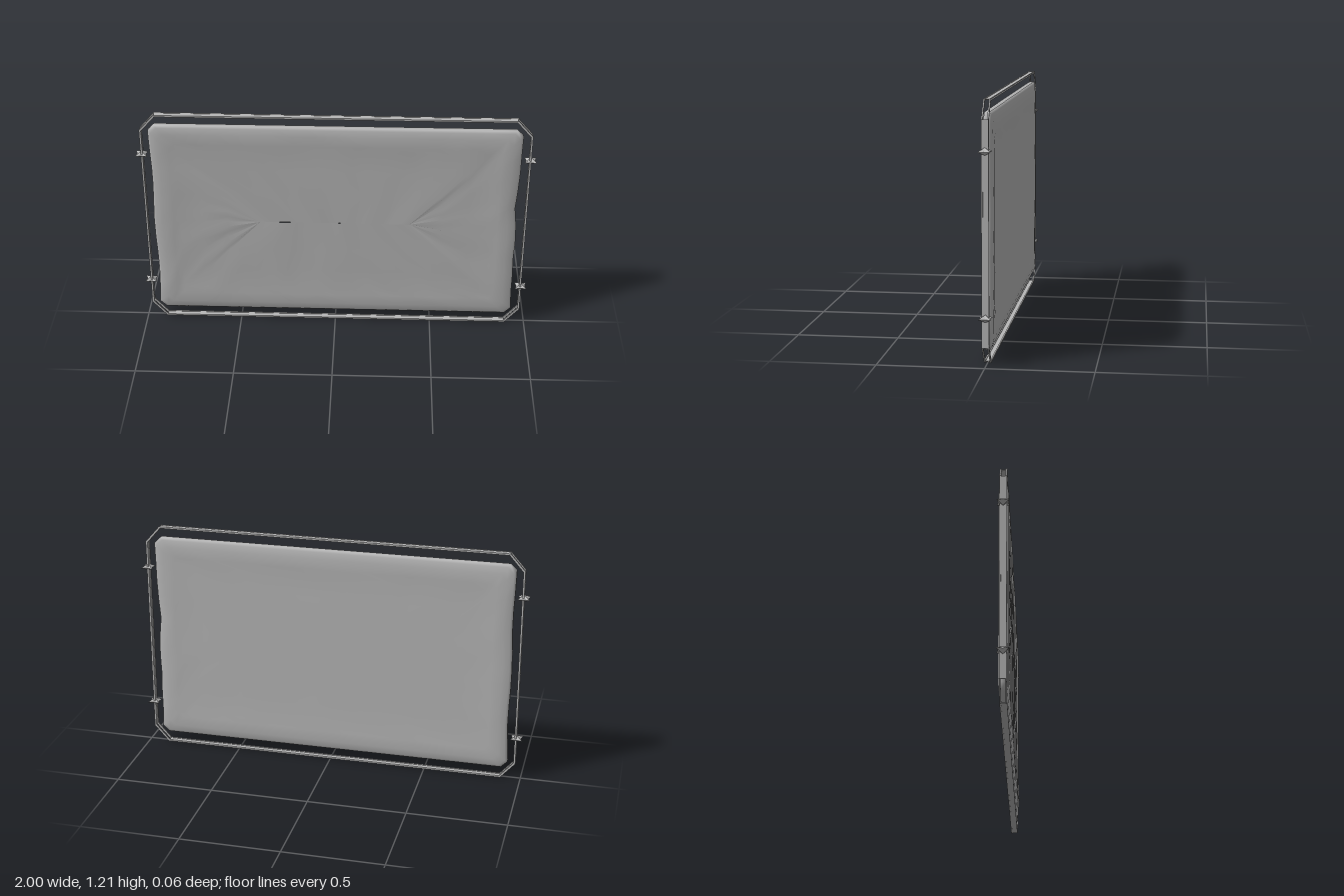
import * as THREE from 'three';

const stone = new THREE.MeshStandardMaterial({ color: 0xb8b8b8 });
stone.name = 'grey';

const CY = 0.612; // height of the centre

// counter-clockwise rectangle with cut corners
function cutRect(hx, hy, cx, cy) {
  return [
    [hx, -hy + cy], [hx, hy - cy], [hx - cx, hy], [-hx + cx, hy],
    [-hx, hy - cy], [-hx, -hy + cy], [-hx + cx, -hy], [hx - cx, -hy],
  ].map(([x, y]) => new THREE.Vector2(x, y));
}

function seeded(seed) {
  return () => (seed = (seed * 16807) % 2147483647) / 2147483647;
}

// worn slab: nested outlines from the front centre, round the rim, to the back centre
function slabGeometry() {
  const rand = seeded(77);
  const half = [[0, 0.012], [0.012, 0.018], [0.045, 0.024], [0.1, 0.025], [0.135, 0.021],
    [0.25, 0.021], [0.38, 0.021], [0.5475, 0.021]];
  const rings = [
    ...half.slice().reverse().map(([i, z]) => [i, z, i > 0.05 ? 0.005 : 0]),
    ...half.map(([i, z]) => [i, -z, i > 0.05 && i < 0.2 ? 0.002 : 0]),
  ];
  const steps = [10, 1, 16, 1, 10, 1, 16, 1];
  const pos = [], index = [];
  let n = 0;
  for (const [inset, z, rough] of rings) {
    const c = Math.max(0, 0.032 - inset * 0.0585);
    const pts = cutRect(0.928 - inset, 0.5475 - inset, c, c);
    n = 0;
    pts.forEach((p, s) => {
      const q = pts[(s + 1) % 8];
      for (let k = 0; k < steps[s]; k++, n++) {
        const v = p.clone().lerp(q, k / steps[s]);
        // chipped short sides
        if (inset < 0.1 && s === 0 && k > 0) v.x -= [0, 0.004, 0.003, 0.006, 0.002, 0.005, 0.016, 0.008, 0.003, 0.002][k];
        if (inset < 0.1 && s === 4 && k > 0) v.x += 0.008 * Math.sin(k * 0.6) ** 2;
        pos.push(v.x, v.y, z + (rand() - 0.5) * rough);
      }
    });
  }
  for (let r = 0; r < rings.length - 1; r++) {
    for (let j = 0; j < n; j++) {
      const a = r * n + j, d = r * n + (j + 1) % n;
      index.push(a, a + n, d + n, a, d + n, d);
    }
  }
  const g = new THREE.BufferGeometry();
  g.setAttribute('position', new THREE.Float32BufferAttribute(pos, 3));
  g.setIndex(index);
  g.computeVertexNormals();
  return g;
}

// four-pointed stud, flat in plan
function studGeometry() {
  const g = new THREE.SphereGeometry(1, 8, 2).toNonIndexed();
  const p = g.attributes.position;
  for (let i = 0; i < p.count; i++) {
    const x = p.getX(i), z = p.getZ(i);
    const diagonal = Math.abs(x * z) > 0.1;
    const r = diagonal ? 0.0424 : 0.023;
    p.setXYZ(i, x * r, p.getY(i) * 0.018, z * r);
  }
  g.computeVertexNormals();
  return g;
}

export function createModel() {
  const model = new THREE.Group();
  const add = (geometry, name, x, y, z) => {
    const m = new THREE.Mesh(geometry, stone);
    m.name = name;
    m.position.set(x, y, z);
    model.add(m);
    return m;
  };

  add(slabGeometry(), 'slab', -0.002, CY, 0);

  // twin rails around the slab
  const shape = new THREE.Shape(cutRect(0.972, 0.606, 0.075, 0.085));
  shape.holes.push(new THREE.Path(cutRect(0.962, 0.597, 0.071, 0.081).reverse()));
  const rail = new THREE.ExtrudeGeometry(shape, { depth: 0.007, bevelEnabled: false });
  add(rail, 'frontRail', 0, CY, 0.01);
  add(rail, 'backRail', 0, CY, -0.017);

  // thin webs joining the rails, and studs on the short sides
  for (const s of [-1, 1]) {
    add(new THREE.BoxGeometry(1.79, 0.005, 0.024), 'longWeb', 0, CY + s * 0.602, 0);
    add(new THREE.BoxGeometry(0.005, 1.04, 0.024), 'shortWeb', s * 0.967, CY, 0);
    for (const y of [0.23, 0.99]) add(studGeometry(), 'stud', s * 0.97, y, 0);
  }
  return model;
}
